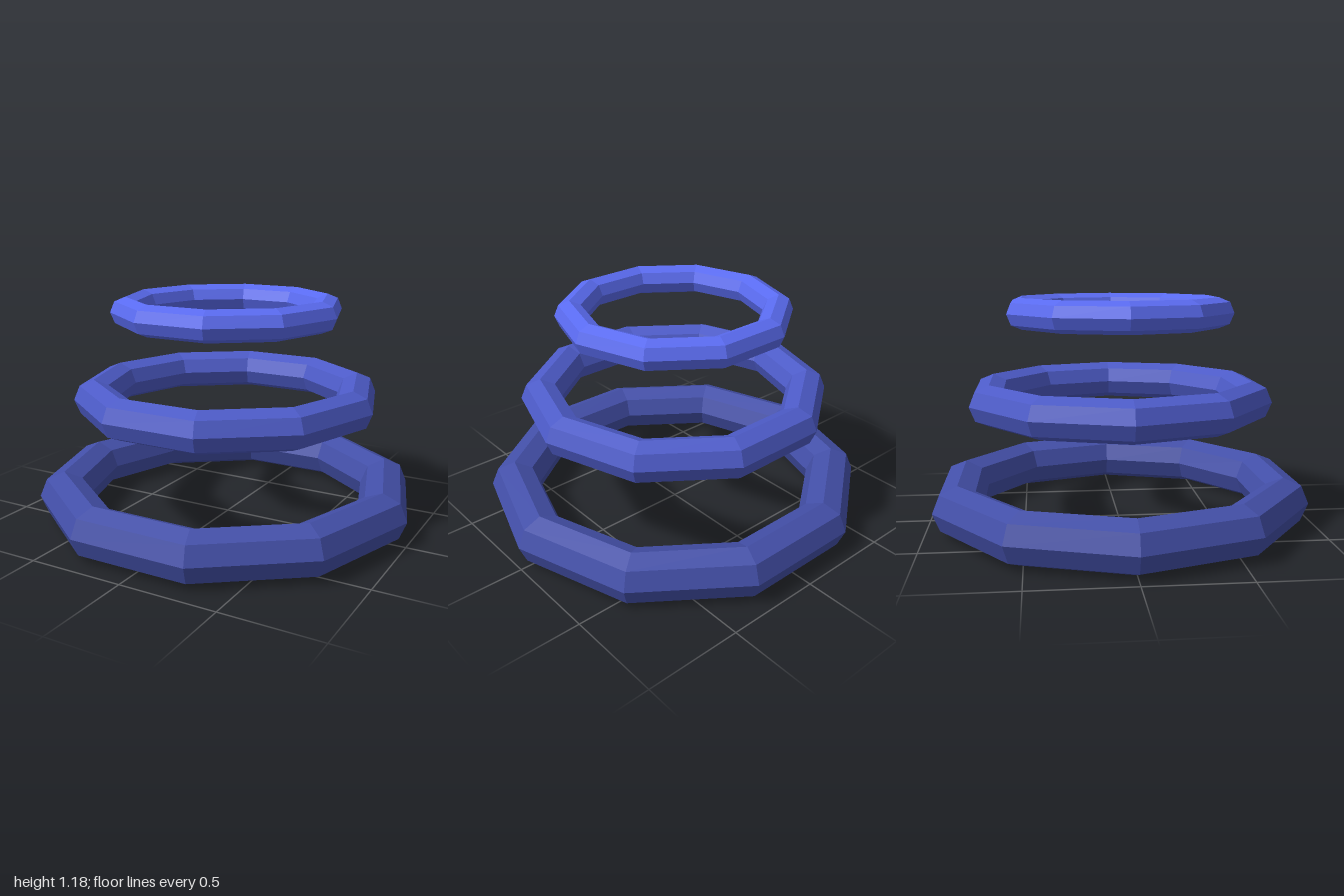
import * as THREE from 'three';

// One faceted ring lying flat: ten segments around, eight-sided tube
function makeRing(name, scale, y, color) {
  const geometry = new THREE.TorusGeometry(0.87 * scale, 0.13 * scale, 8, 10);
  geometry.rotateX(-Math.PI / 2);
  const material = new THREE.MeshStandardMaterial({ color, flatShading: true });
  const ring = new THREE.Mesh(geometry, material);
  ring.name = name;
  ring.position.y = y;
  return ring;
}

export function createModel() {
  const model = new THREE.Group();
  model.name = 'floatingRings';

  // Three stacked rings, shrinking and brightening upward
  model.add(
    makeRing('bottomRing', 1.0, 0.13, 0x434fa8),
    makeRing('middleRing', 0.8, 0.65, 0x4d5bc8),
    makeRing('topRing', 0.6, 1.1, 0x5a6bf0),
  );
  return model;
}
